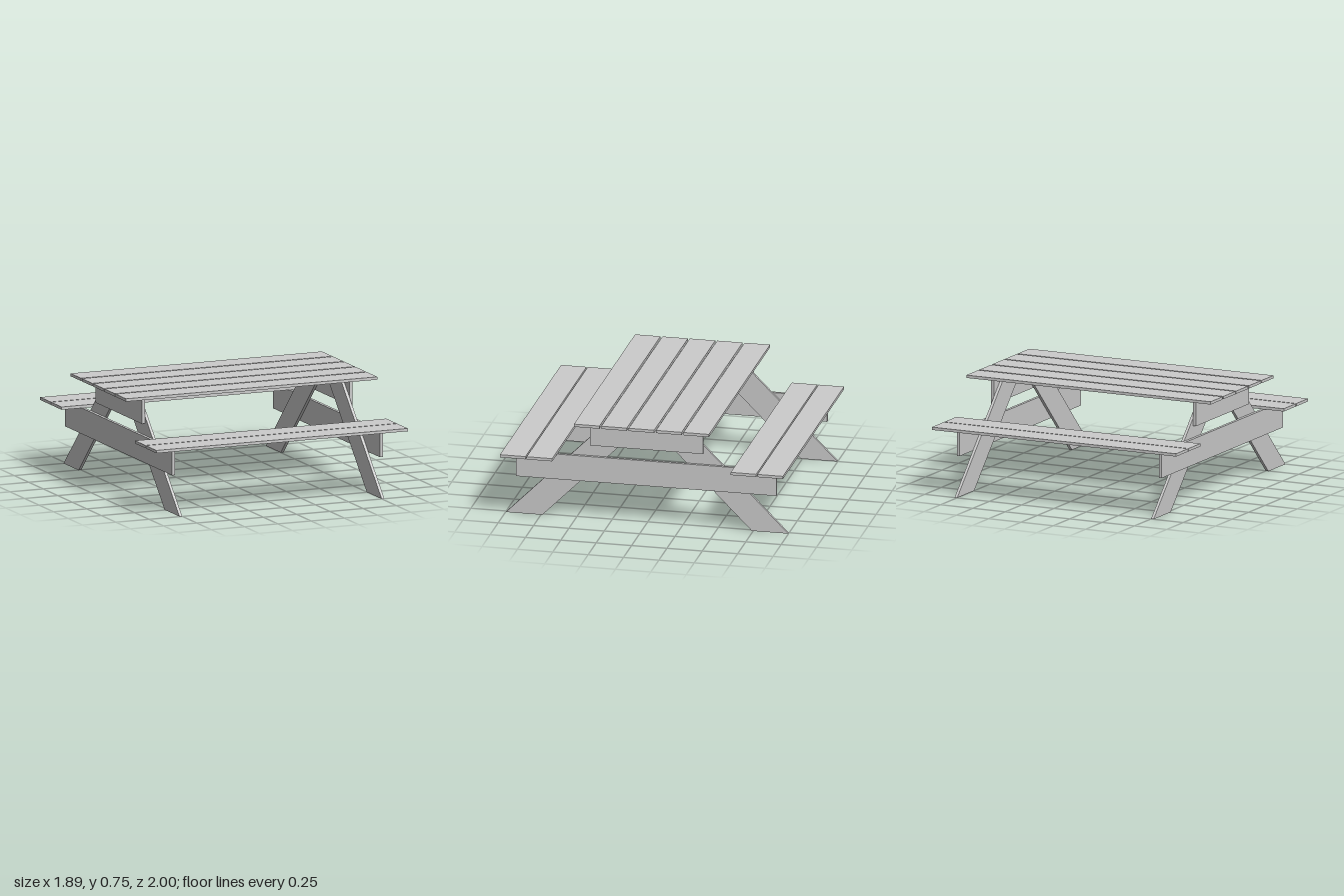
import * as THREE from 'three';

export function createModel() {
  const model = new THREE.Group();
  model.name = 'picnicTable';
  const wood = new THREE.MeshStandardMaterial({ color: 0xcccccc, flatShading: true });

  const add = (geometry, name, x, y, z) => {
    const mesh = new THREE.Mesh(geometry, wood);
    mesh.name = name;
    mesh.position.set(x, y, z);
    model.add(mesh);
    return mesh;
  };

  // Planks of the table top and the two benches
  const plank = new THREE.BoxGeometry(1.89, 0.02, 0.18);
  for (let i = -2; i <= 2; i++) add(plank, 'tabletopPlank', 0, 0.735, i * 0.1935);
  for (const side of [-1, 1]) {
    for (const z of [0.721, 0.91]) add(plank, 'benchPlank', 0, 0.47, side * z);
  }

  // Slanted leg outline in (z, y), cut level at the floor and under the top
  const top = 0.725;
  const legShape = new THREE.Shape([
    new THREE.Vector2(0.74, 0),
    new THREE.Vector2(0.998, 0),
    new THREE.Vector2(0.998 - top, top),
    new THREE.Vector2(0.74 - top, top),
  ]);
  const leg = new THREE.ExtrudeGeometry(legShape, { depth: 0.02, bevelEnabled: false });
  leg.translate(0, 0, -0.01);

  // End frames: two crossbeams outside a pair of legs
  const topBeam = new THREE.BoxGeometry(0.022, 0.183, 0.8);
  const benchBeam = new THREE.BoxGeometry(0.022, 0.183, 1.84);
  for (const end of [-1, 1]) {
    add(topBeam, 'topCrossbeam', end * 0.781, 0.6335, 0);
    add(benchBeam, 'benchCrossbeam', end * 0.781, 0.3685, 0);
    for (const side of [-1, 1]) {
      add(leg, 'leg', end * 0.76, 0, 0).rotation.y = -side * Math.PI / 2;
    }
  }
  return model;
}
